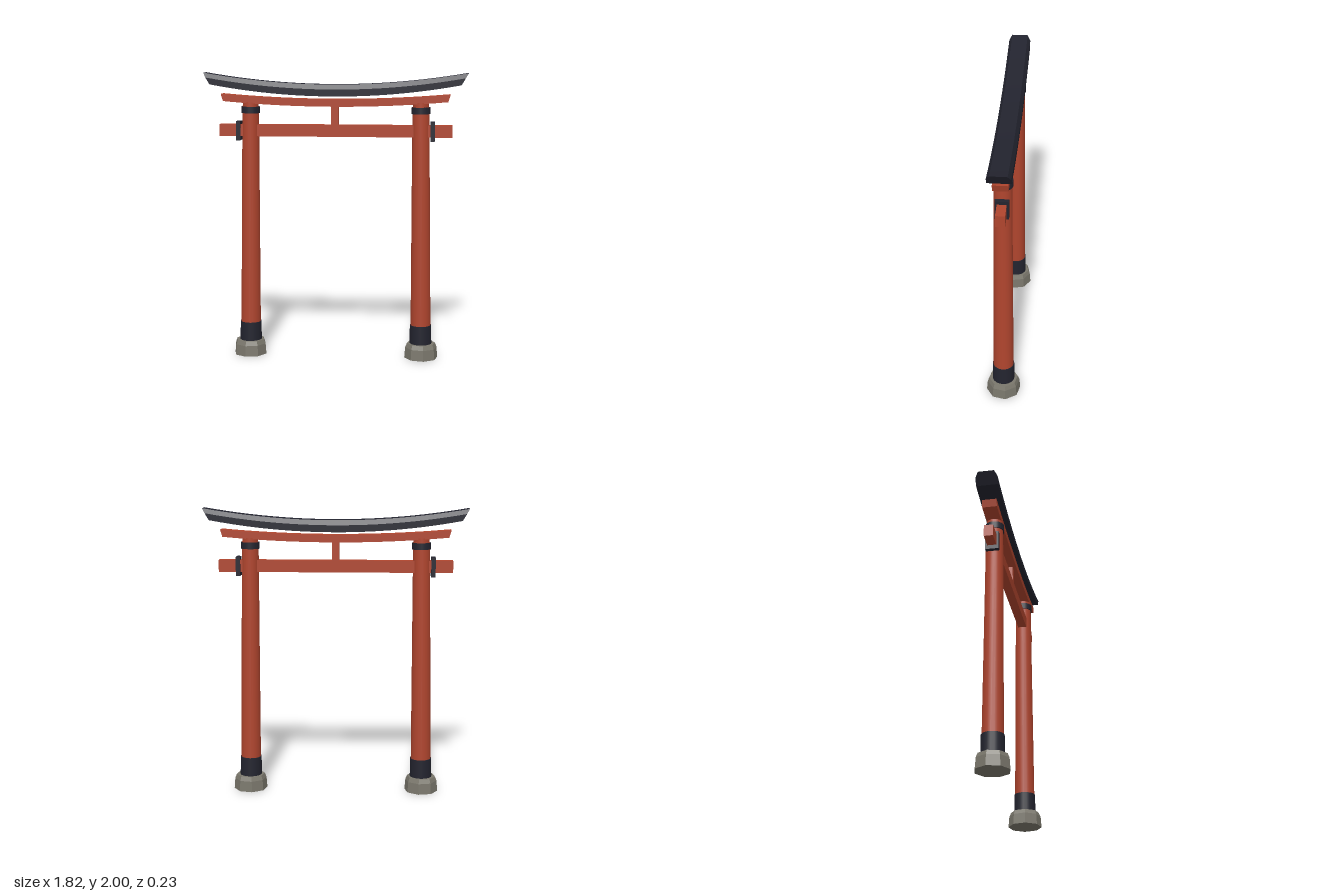
import * as THREE from 'three';

const paint = (name, color) => Object.assign(new THREE.MeshStandardMaterial({ color }), { name });

// Sweeps a cross-section of [z, drop, endX] points along x, its ends rising by `rise`.
// Long faces are smooth along the length and sharp between each other.
function curvedBeam(section, centerTop, rise, segments = 24) {
  const pos = [], idx = [];
  const half = section[0][2];
  const point = ([z, drop, endX], t) => pos.push(endX * t, centerTop - drop + rise * t * t, z);
  section.forEach((a, i) => {
    const b = section[(i + 1) % section.length];
    const start = pos.length / 3;
    for (let s = 0; s <= segments; s++) {
      const t = (s / segments) * 2 - 1;
      point(a, t);
      point(b, t);
      if (s < segments) {
        const k = start + s * 2;
        idx.push(k, k + 2, k + 1, k + 2, k + 3, k + 1);
      }
    }
  });
  // Slanted end caps
  for (const t of [-1, 1]) {
    const start = pos.length / 3;
    section.forEach((p) => point(p, t));
    for (let i = 1; i < section.length - 1; i++) {
      if (t < 0) idx.push(start, start + i, start + i + 1);
      else idx.push(start, start + i + 1, start + i);
    }
  }
  const geo = new THREE.BufferGeometry();
  geo.setAttribute('position', new THREE.Float32BufferAttribute(pos, 3));
  geo.setIndex(idx);
  geo.computeVertexNormals();
  return geo;
}

export function createModel() {
  const red = paint('vermilion', 0xb0452e);
  const black = paint('blackLacquer', 0x23242f);
  const stone = paint('stone', 0x7a776c);
  stone.flatShading = true;

  const model = new THREE.Group();
  model.name = 'gate';
  const add = (parent, name, geo, mat, x = 0, y = 0, z = 0) => {
    const mesh = new THREE.Mesh(geo, mat);
    mesh.name = name;
    mesh.position.set(x, y, z);
    parent.add(mesh);
    return mesh;
  };
  // Upright cylinder between two heights
  const column = (parent, name, mat, y0, y1, r0, r1) =>
    add(parent, name, new THREE.CylinderGeometry(r1, r0, y1 - y0, 20), mat, 0, (y0 + y1) / 2);

  // Curved top lintel with bevelled upper edges
  add(model, 'topLintel', curvedBeam([
    [0.055, 0, 0.91], [-0.055, 0, 0.91], [-0.075, 0.033, 0.89],
    [-0.075, 0.08, 0.862], [0.075, 0.08, 0.862], [0.075, 0.033, 0.89],
  ], 1.921, 0.079), black);

  // Curved lower lintel
  add(model, 'lowerLintel', curvedBeam([
    [0.05, 0, 0.79], [-0.05, 0, 0.79], [-0.05, 0.05, 0.775], [0.05, 0.05, 0.775],
  ], 1.82, 0.035), red);

  // Straight tie beam and centre strut
  add(model, 'tieBeam', new THREE.BoxGeometry(1.614, 0.082, 0.062), red, 0, 1.603);
  add(model, 'centreStrut', new THREE.BoxGeometry(0.05, 0.15, 0.05), red, 0, 1.71);

  for (const side of [-1, 1]) {
    const label = side > 0 ? 'left' : 'right';

    // Pillar with its bands, leaning slightly inwards
    const pillar = new THREE.Group();
    pillar.name = label + 'Pillar';
    pillar.position.x = side * 0.608;
    pillar.rotation.z = side * 0.0105;
    model.add(pillar);
    column(pillar, 'shaft', red, 0.09, 1.77, 0.071, 0.058);
    column(pillar, 'baseSleeve', black, 0.09, 0.237, 0.077, 0.075);
    column(pillar, 'topCollar', black, 1.722, 1.767, 0.065, 0.065);
    column(pillar, 'capital', red, 1.765, 1.798, 0.055, 0.055);

    // Eight-sided footing stone
    const footing = new THREE.LatheGeometry([
      [0, 0], [0.118, 0], [0.112, 0.075], [0.1, 0.105], [0, 0.105],
    ].map(([r, y]) => new THREE.Vector2(r, y)), 8);
    add(model, label + 'Footing', footing, stone, side * 0.61).rotation.y = side * 0.17;

    // Wedge plate around the tie beam
    add(model, label + 'Wedge', new THREE.BoxGeometry(0.03, 0.132, 0.09), black, side * 0.672, 1.6);
  }
  return model;
}
